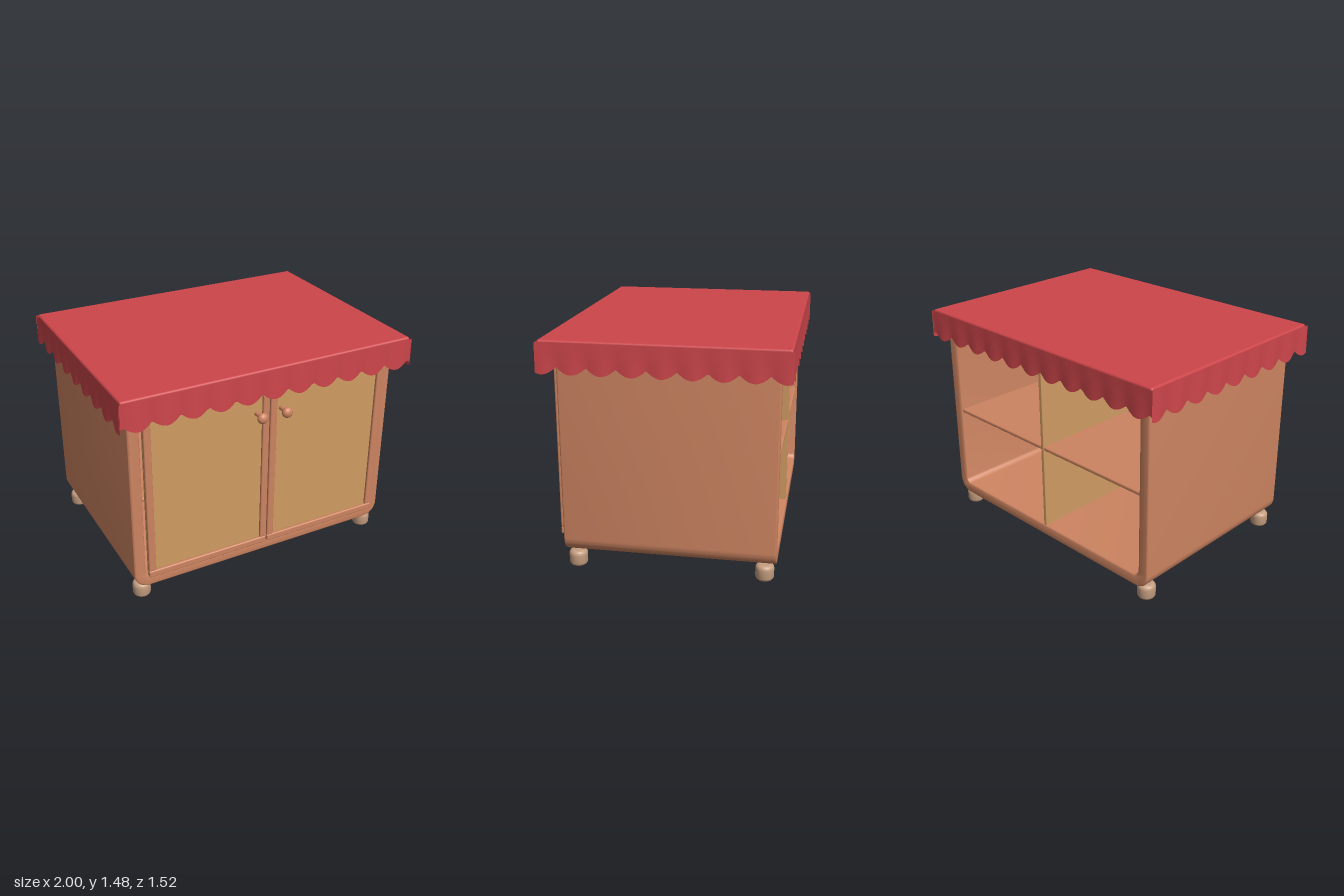
import * as THREE from 'three';
import { toCreasedNormals } from 'three/addons/utils/BufferGeometryUtils.js';
import { RoundedBoxGeometry } from 'three/addons/geometries/RoundedBoxGeometry.js';

const wood = new THREE.MeshStandardMaterial({ color: 0xcd8461 });
wood.name = 'terracottaWood';
const panelWood = new THREE.MeshStandardMaterial({ color: 0xd09b62 });
panelWood.name = 'tanPanel';
const cloth = new THREE.MeshStandardMaterial({ color: 0xcc454a, side: THREE.DoubleSide });
cloth.name = 'redCloth';
const footWood = new THREE.MeshStandardMaterial({ color: 0xc49d7f });
footWood.name = 'paleFoot';

function add(parent, name, geometry, material, x = 0, y = 0, z = 0) {
  const mesh = new THREE.Mesh(geometry, material);
  mesh.name = name;
  mesh.position.set(x, y, z);
  parent.add(mesh);
  return mesh;
}

// Box given by its limits, with softly rounded edges
function block(parent, name, material, [x0, x1], [y0, y1], [z0, z1], r = 0.006) {
  const g = new RoundedBoxGeometry(x1 - x0, y1 - y0, z1 - z0, 3, r);
  return add(parent, name, g, material, (x0 + x1) / 2, (y0 + y1) / 2, (z0 + z1) / 2);
}

function roundedRect(path, x0, x1, y0, y1, r) {
  path.moveTo(x0 + r, y0);
  path.lineTo(x1 - r, y0);
  path.absarc(x1 - r, y0 + r, r, -Math.PI / 2, 0);
  path.lineTo(x1, y1 - r);
  path.absarc(x1 - r, y1 - r, r, 0, Math.PI / 2);
  path.lineTo(x0 + r, y1);
  path.absarc(x0 + r, y1 - r, r, Math.PI / 2, Math.PI);
  path.lineTo(x0, y0 + r);
  path.absarc(x0 + r, y0 + r, r, Math.PI, Math.PI * 1.5);
  return path;
}

// Rounded sleeve, open at front and back
function caseGeometry() {
  const shape = roundedRect(new THREE.Shape(), -0.92, 0.92, 0.103, 1.42, 0.1);
  shape.holes.push(roundedRect(new THREE.Path(), -0.845, 0.845, 0.18, 1.34, 0.04));
  const b = 0.012;
  const g = new THREE.ExtrudeGeometry(shape, {
    depth: 1.325 - 2 * b, bevelEnabled: true, bevelThickness: b, bevelSize: b,
    bevelOffset: -b, bevelSegments: 3, curveSegments: 10,
  });
  g.translate(0, 0, -0.685 + b);
  return toCreasedNormals(g, 0.7);
}

// Hanging cloth strip with a scalloped, gently rippling lower edge
function valanceGeometry(length) {
  const pitch = 0.1775, top = 1.463;
  const g = new THREE.PlaneGeometry(length, 1, 132, 5);
  const p = g.attributes.position;
  for (let i = 0; i < p.count; i++) {
    const u = p.getX(i), v = 0.5 - p.getY(i);
    const t = u / pitch - Math.round(u / pitch);
    const bottom = 1.275 + 0.045 * (2 * t) ** 2;
    const out = v * (0.003 + 0.005 * Math.cos(2 * Math.PI * t));
    p.setXYZ(i, u, top + (bottom - top) * v, out);
  }
  g.computeVertexNormals();
  return g;
}

function addDoor(parent, s) {
  const door = new THREE.Group();
  door.name = s > 0 ? 'leftDoor' : 'rightDoor';
  const span = (a, b) => (s > 0 ? [a, b] : [-b, -a]);
  const panelZ = [0.642, 0.661], frameZ = [0.659, 0.682];
  block(door, 'doorPanel', panelWood, span(0.004, 0.836), [0.193, 1.328], panelZ, 0.003);
  for (const y of [[0.192, 0.238], [1.282, 1.328]]) block(door, 'doorRail', wood, span(0.003, 0.838), y, frameZ, 0.009);
  for (const [a, b] of [[0.003, 0.05], [0.79, 0.838]]) block(door, 'doorStile', wood, span(a, b), [0.238, 1.282], frameZ, 0.009);

  // Knob on a short stem
  const stem = new THREE.CylinderGeometry(0.015, 0.015, 0.06, 16).rotateX(Math.PI / 2);
  add(door, 'knobStem', stem, wood, s * 0.086, 1.16, 0.688);
  const knob = new THREE.SphereGeometry(0.035, 24, 16).scale(1, 1, 0.77);
  add(door, 'knob', knob, wood, s * 0.086, 1.16, 0.736);
  parent.add(door);
}

export function createModel() {
  const model = new THREE.Group();
  model.name = 'cabinet';

  add(model, 'case', caseGeometry(), wood);

  // Interior
  block(model, 'divider', panelWood, [-0.012, 0.012], [0.175, 1.345], [-0.68, 0.638], 0.003);
  block(model, 'shelf', wood, [-0.848, 0.848], [0.733, 0.76], [-0.675, 0.635], 0.01);

  for (const s of [1, -1]) addDoor(model, s);

  // Top slab and hanging cloth edge
  block(model, 'topSlab', cloth, [-0.985, 0.985], [1.42, 1.475], [-0.746, 0.728], 0.014);
  const zMid = -0.008, halfX = 0.993, halfZ = 0.743;
  for (let k = 0; k < 4; k++) {
    const onSide = k % 2 === 1;
    const a = k * Math.PI / 2;
    const strip = valanceGeometry(2 * (onSide ? halfZ : halfX) + 0.008);
    const d = onSide ? halfX : halfZ;
    const mesh = add(model, ['front', 'left', 'back', 'right'][k] + 'Valance', strip, cloth,
      Math.sin(a) * d, 0, zMid + Math.cos(a) * d);
    mesh.rotation.y = a;
  }

  // Round bun feet
  const profile = roundedRect(new THREE.Path(), -0.058, 0.058, 0, 0.106, 0.028)
    .getPoints(6).filter((q) => q.x > 0.02 && q.y >= 0);
  const points = [new THREE.Vector2(0, 0), ...profile, new THREE.Vector2(0, 0.106)];
  const foot = toCreasedNormals(new THREE.LatheGeometry(points, 28), 0.8);
  for (const x of [-0.852, 0.852]) for (const z of [0.568, -0.612]) add(model, 'foot', foot, footWood, x, 0, z);

  return model;
}
